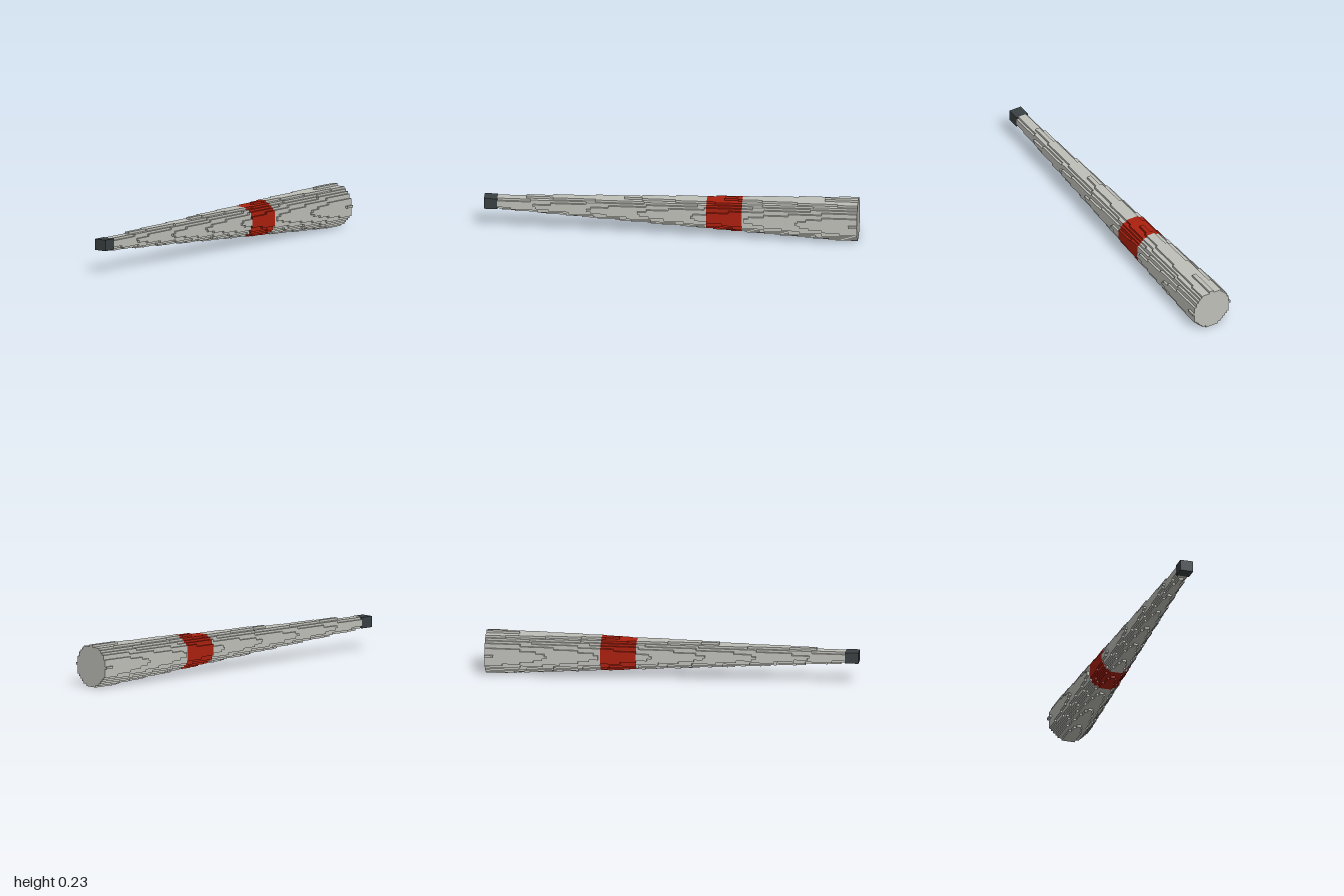
import * as THREE from 'three';
import { mergeGeometries } from 'three/addons/utils/BufferGeometryUtils.js';

const LENGTH = 168;          // cells along x
const CELL = 2 / LENGTH;     // cell size
const TIP_END = 6, BAND_START = 100, BAND_END = 116;

// Widest half-width (in cells) of every row, from the bottom up
const MAX_HALF = [3, 5, 6, 7, 8, 9, 9, 9, 9, 10, 9, 9, 9, 8, 8, 7, 6, 5, 1];

// Half-width of a row at one slice of the cone, whose axis rises toward the tip
function halfWidth(row, slice) {
  const x = (slice + 0.5) * CELL - 1;
  const radius = 3.5 + (x + 0.74) * 3.55;
  const axisY = 9.5 - 1.68 * (x - 0.81);
  const dy = row + 0.5 - axisY;
  const reach = radius * radius - dy * dy;
  if (reach < 0.25) return 0;
  return Math.min(MAX_HALF[row], Math.floor(Math.sqrt(reach) + 0.5));
}

// Box given in cells: x range, y range, half-width in z
function cellBox(x0, x1, y0, y1, half) {
  const g = new THREE.BoxGeometry((x1 - x0) * CELL, (y1 - y0) * CELL, 2 * half * CELL);
  return g.translate((x0 + x1) / 2 * CELL - 1, (y0 + y1) / 2 * CELL, 0);
}

// Stepped cone section: each row is split into runs of equal width
function steppedSection(from, to) {
  const boxes = [];
  for (let row = 0; row < MAX_HALF.length; row++) {
    let start = from;
    for (let s = from + 1; s <= to; s++) {
      const half = halfWidth(row, start);
      if (s === to || halfWidth(row, s) !== half) {
        if (half > 0) boxes.push(cellBox(start, s, row, row + 1, half));
        start = s;
      }
    }
  }
  return mergeGeometries(boxes);
}

export function createModel() {
  const group = new THREE.Group();
  group.name = 'taperedBarrel';

  const material = (name, color) => {
    const m = new THREE.MeshStandardMaterial({ color });
    m.name = name;
    return m;
  };
  const grey = material('lightGrey', 0xc0c0ba);
  const red = material('red', 0xac200e);
  const dark = material('darkGrey', 0x3a4042);

  const add = (name, geometry, mat) => {
    const mesh = new THREE.Mesh(geometry, mat);
    mesh.name = name;
    group.add(mesh);
  };

  add('tip', cellBox(0, TIP_END, 10, 15, 3), dark);
  add('frontShaft', steppedSection(TIP_END, BAND_START), grey);
  add('colourBand', steppedSection(BAND_START, BAND_END), red);
  add('rearShaft', steppedSection(BAND_END, LENGTH), grey);
  return group;
}
